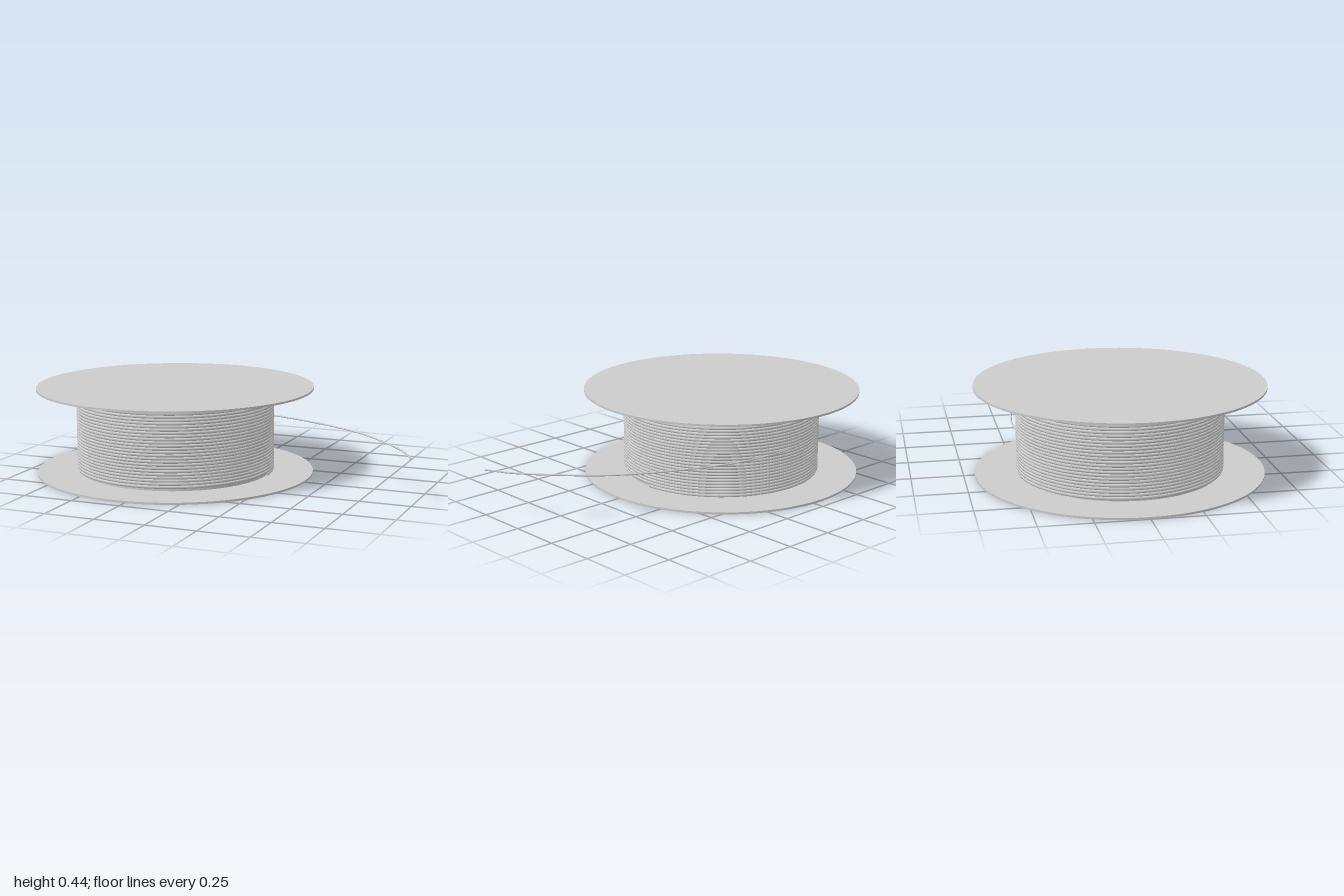
import * as THREE from 'three';

export function createModel() {
  const model = new THREE.Group();
  const material = new THREE.MeshStandardMaterial({ color: 0xcccccc });
  const cx = -0.302;

  const add = (name, geometry, x = 0, y = 0) => {
    const mesh = new THREE.Mesh(geometry, material);
    mesh.name = name;
    mesh.position.set(x, y, 0);
    model.add(mesh);
  };

  // Spool: two thin flanges on a drum
  const flange = new THREE.CylinderGeometry(0.698, 0.698, 0.01, 96);
  add('bottomFlange', flange, cx, 0.005);
  add('topFlange', flange, cx, 0.435);
  add('drum', new THREE.CylinderGeometry(0.482, 0.482, 0.42, 96), cx, 0.22);

  // Wire wound in one close helix
  const turns = 26;
  class Helix extends THREE.Curve {
    getPoint(t, target = new THREE.Vector3()) {
      const a = t * turns * Math.PI * 2;
      return target.set(0.491 * Math.cos(a), 0.019 + 0.402 * t, -0.491 * Math.sin(a));
    }
    // Even speed, so arc length needs no lookup
    getPointAt(t, target) { return this.getPoint(t, target); }
    getTangentAt(t, target) { return this.getTangent(t, target); }
  }
  add('woundWire', new THREE.TubeGeometry(new Helix(), turns * 72, 0.0085, 8), cx);

  // Loose end leaving the back of the winding and curling forward
  const path = new THREE.CatmullRomCurve3([
    [-0.30, -0.494], [-0.16, -0.503], [0.06, -0.475], [0.27, -0.4], [0.47, -0.303],
    [0.64, -0.19], [0.83, 0], [0.93, 0.125], [0.994, 0.25],
  ].map(([x, z]) => new THREE.Vector3(x, 0.222, z)));
  const r = 0.0045;
  add('looseWire', new THREE.TubeGeometry(path, 80, r, 8));

  // Flat cap on the cut end
  const cap = new THREE.Mesh(new THREE.CircleGeometry(r, 8), material);
  cap.name = 'wireTip';
  cap.position.copy(path.getPoint(1));
  cap.lookAt(cap.position.clone().add(path.getTangent(1)));
  model.add(cap);

  return model;
}
